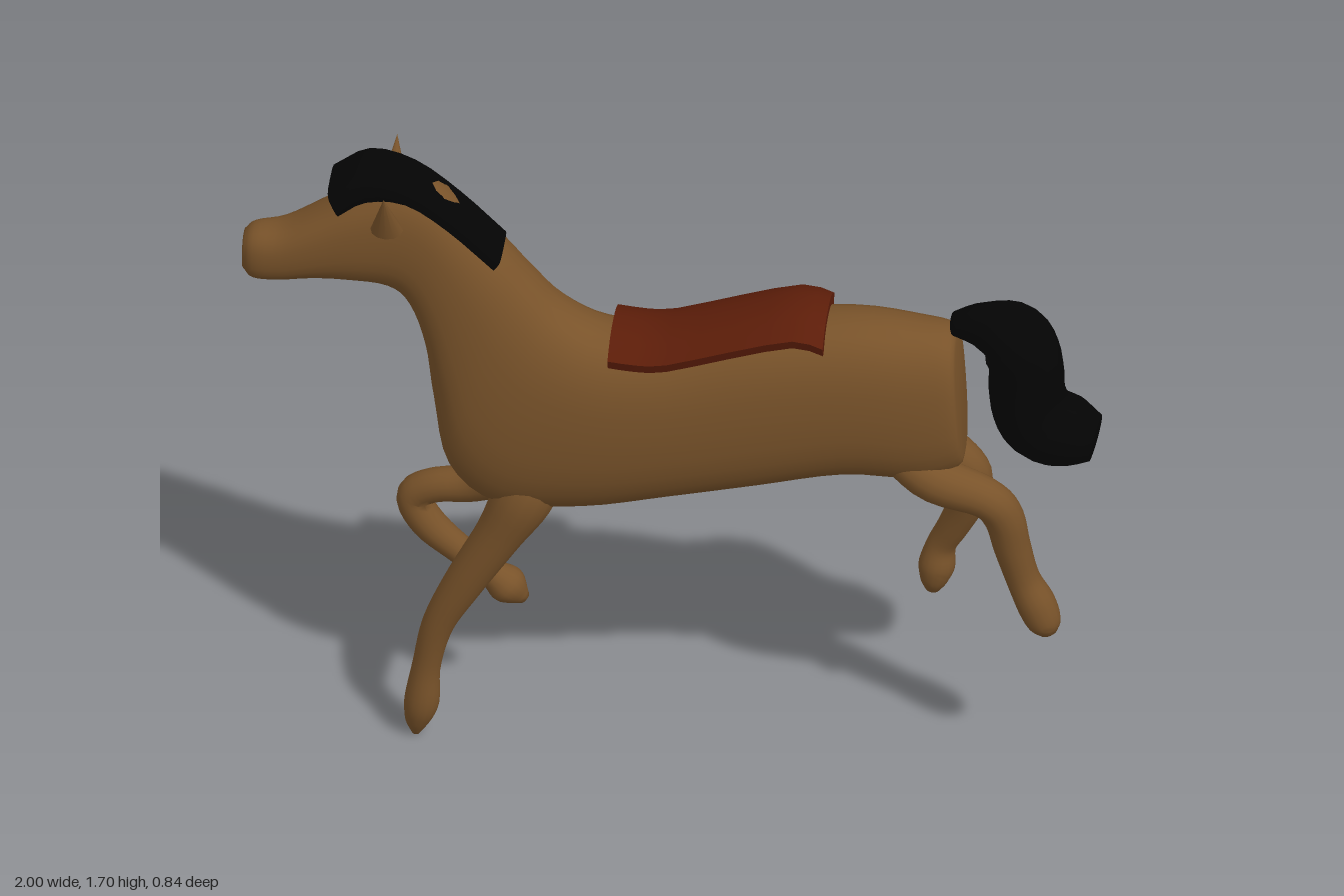
import * as THREE from 'three';
import { toCreasedNormals } from 'three/addons/utils/BufferGeometryUtils.js';

const YAW = 0.36; // the animal stands turned about the vertical axis
const C = Math.cos(YAW);
const V = (x, y, z) => new THREE.Vector3(x, y, z);
const SIDE = V(Math.sin(YAW), 0, C); // the animal's sideways direction

const coat = new THREE.MeshStandardMaterial({ color: 0x79532a });
coat.name = 'brownCoat';
const hair = new THREE.MeshStandardMaterial({ color: 0x040404 });
hair.name = 'blackHair';
const leather = new THREE.MeshStandardMaterial({ color: 0x5c1d09 });
leather.name = 'redLeather';

// Closed skin over a row of rings, with a fan at each end
function loft(rings, crease) {
  const n = rings[0].length, pos = [], idx = [];
  for (const r of rings) for (const p of r) pos.push(p.x, p.y, p.z);
  for (let i = 0; i < rings.length - 1; i++) {
    for (let j = 0; j < n; j++) {
      const a = i * n + j, b = i * n + (j + 1) % n;
      idx.push(a, b, a + n, b, b + n, a + n);
    }
  }
  [0, rings.length - 1].forEach((k, end) => {
    const mid = V(0, 0, 0);
    rings[k].forEach(p => mid.addScaledVector(p, 1 / n));
    const c = pos.length / 3;
    pos.push(mid.x, mid.y, mid.z);
    for (let j = 0; j < n; j++) {
      const a = k * n + j, b = k * n + (j + 1) % n;
      if (end) idx.push(c, a, b); else idx.push(c, b, a);
    }
  });
  const g = new THREE.BufferGeometry();
  g.setAttribute('position', new THREE.Float32BufferAttribute(pos, 3));
  g.setIndex(idx);
  return toCreasedNormals(g, crease);
}

// Rounded outline around c, spanned by half-axes a and b; e = 2 is an ellipse
function ring(c, a, b, n, e) {
  const f = v => Math.sign(v) * Math.pow(Math.abs(v), 2 / e);
  return Array.from({ length: n }, (_, j) => {
    const t = j / n * Math.PI * 2;
    return c.clone().addScaledVector(a, f(Math.cos(t))).addScaledVector(b, f(Math.sin(t)));
  });
}

const spline = pts => new THREE.CatmullRomCurve3(pts, false, 'catmullrom');

// Sections [topX, topY, bottomX, bottomY, halfWidth], from the rear to the front
function profileLoft(secs, steps, n, e, crease) {
  const top = spline(secs.map(s => V(s[0] / C, s[1], 0)));
  const bottom = spline(secs.map(s => V(s[2] / C, s[3], 0)));
  const width = spline(secs.map(s => V(s[4], 0, 0)));
  const rings = [];
  for (let i = 0; i <= steps; i++) {
    const t = i / steps, p = top.getPoint(t), q = bottom.getPoint(t);
    const mid = p.clone().add(q).multiplyScalar(0.5);
    rings.push(ring(mid, p.sub(mid), V(0, 0, -width.getPoint(t).x), n, e));
  }
  return loft(rings, crease);
}

// Tapered limb through points [x, y, z, radius]
function limb(pts, n, steps) {
  const path = spline(pts.map(p => V(p[0], p[1], p[2])));
  const radius = spline(pts.map(p => V(p[3], 0, 0)));
  const rings = [];
  for (let i = 0; i <= steps; i++) {
    const t = i / steps, dir = path.getTangent(t), r = radius.getPoint(t).x;
    const a = SIDE.clone().addScaledVector(dir, -SIDE.dot(dir)).normalize();
    const b = dir.clone().cross(a);
    rings.push(ring(path.getPoint(t), a.multiplyScalar(r), b.multiplyScalar(r), n, 2));
  }
  return loft(rings, 1.2);
}

export function createModel() {
  const model = new THREE.Group();
  model.name = 'gallopingHorse';
  const turned = new THREE.Group();
  turned.name = 'upperBody';
  turned.rotation.y = YAW;
  model.add(turned);
  const add = (parent, name, geometry, material) => {
    const m = new THREE.Mesh(geometry, material);
    m.name = name;
    parent.add(m);
    return m;
  };

  // Trunk, neck and head in one skin
  add(turned, 'bodyNeckAndHead', profileLoft([
    [0.66, 1.27, 0.675, 0.97, 0.075],
    [0.645, 1.31, 0.665, 0.925, 0.105],
    [0.57, 1.325, 0.58, 0.885, 0.122],
    [0.42, 1.335, 0.4, 0.885, 0.135],
    [0.2, 1.305, 0.2, 0.835, 0.142],
    [0, 1.25, 0, 0.785, 0.145],
    [-0.15, 1.252, -0.2, 0.735, 0.143],
    [-0.25, 1.31, -0.4, 0.725, 0.135],
    [-0.32, 1.39, -0.51, 0.825, 0.128],
    [-0.38, 1.465, -0.545, 1.02, 0.12],
    [-0.46, 1.555, -0.565, 1.18, 0.108],
    [-0.54, 1.635, -0.6, 1.295, 0.097],
    [-0.62, 1.66, -0.65, 1.345, 0.093],
    [-0.71, 1.62, -0.75, 1.355, 0.09],
    [-0.8, 1.555, -0.83, 1.352, 0.083],
    [-0.89, 1.495, -0.9, 1.34, 0.072],
    [-0.96, 1.477, -0.96, 1.337, 0.06],
    [-0.985, 1.455, -0.985, 1.36, 0.04],
  ], 68, 28, 2.5, 1.2), coat);

  // Ears
  for (const s of [1, -1]) {
    const ear = add(turned, s > 0 ? 'leftEar' : 'rightEar', new THREE.ConeGeometry(0.04, 0.15, 12), coat);
    ear.position.set(-0.69, 1.627, 0.02 + s * 0.107);
    ear.rotation.x = s * 0.45;
    ear.scale.z = 0.7;
  }

  // Mane: a slab with square ends, lying along the crest and over the forehead
  const mane = add(turned, 'mane', profileLoft([
    [-0.385, 1.477, -0.405, 1.447, 0.074],
    [-0.49, 1.588, -0.51, 1.555, 0.076],
    [-0.595, 1.672, -0.605, 1.625, 0.08],
    [-0.7, 1.702, -0.695, 1.62, 0.08],
    [-0.785, 1.645, -0.755, 1.575, 0.08],
  ], 12, 20, 4, 0.6), hair);
  mane.position.z = 0.015;

  // Saddle pad, arched over the back and sunk into it
  const dips = [[0.36, 1.352], [0.29, 1.37], [0.15, 1.326], [0, 1.272], [-0.07, 1.265], [-0.135, 1.271]];
  const padLine = spline(dips.map(d => V(d[0] / C, d[1], 0)));
  const padRings = [];
  for (let i = 0; i <= 10; i++) {
    const p = padLine.getPoint(i / 10), outline = [];
    for (let j = 0; j <= 10; j++) {
      const z = 0.121 * (1 - j / 5);
      outline.push(V(p.x, p.y - 0.042 * Math.abs(1 - j / 5) ** 2.4, z));
    }
    for (const z of [-0.112, 0.112]) outline.push(V(p.x, p.y - 0.068, z));
    padRings.push(outline);
  }
  add(turned, 'saddlePad', loft(padRings, 0.6), leather);

  // Legs, rooted inside the trunk and each ending in a pointed hoof
  const legs = {
    leftFrontLeg: [[-0.28, 0.88, 0.12, 0.05], [-0.315, 0.77, 0.16, 0.077], [-0.375, 0.64, 0.19, 0.06],
      [-0.46, 0.48, 0.217, 0.05], [-0.52, 0.35, 0.235, 0.04], [-0.55, 0.22, 0.24, 0.035],
      [-0.563, 0.11, 0.24, 0.043], [-0.575, 0.05, 0.24, 0.032], [-0.58, 0.005, 0.24, 0.01]],
    rightFrontLeg: [[-0.34, 0.8, 0.12, 0.05], [-0.47, 0.71, 0.115, 0.046], [-0.58, 0.68, 0.135, 0.044],
      [-0.635, 0.635, 0.145, 0.043], [-0.6, 0.56, 0.135, 0.043], [-0.53, 0.49, 0.11, 0.037],
      [-0.46, 0.425, 0.08, 0.035], [-0.42, 0.385, 0.06, 0.048], [-0.385, 0.345, 0.04, 0.016]],
    leftHindLeg: [[0.5, 0.98, -0.16, 0.045], [0.62, 0.905, -0.175, 0.06], [0.745, 0.86, -0.215, 0.052],
      [0.785, 0.8, -0.242, 0.05], [0.8, 0.7, -0.262, 0.046], [0.82, 0.6, -0.28, 0.042],
      [0.85, 0.53, -0.29, 0.048], [0.872, 0.475, -0.295, 0.042], [0.882, 0.447, -0.297, 0.022]],
    rightHindLeg: [[0.54, 1.0, -0.25, 0.04], [0.62, 0.91, -0.285, 0.055], [0.665, 0.84, -0.31, 0.05],
      [0.645, 0.75, -0.325, 0.046], [0.605, 0.66, -0.33, 0.04], [0.57, 0.59, -0.33, 0.037],
      [0.56, 0.53, -0.325, 0.045], [0.555, 0.49, -0.32, 0.036], [0.55, 0.455, -0.32, 0.018]],
  };
  for (const [name, pts] of Object.entries(legs)) add(model, name, limb(pts, 16, 36), coat);

  // Bushy tail, arching up and curling out at the end
  add(model, 'tail', limb([
    [0.645, 1.325, -0.25, 0.03], [0.72, 1.335, -0.265, 0.06], [0.79, 1.315, -0.28, 0.09],
    [0.82, 1.24, -0.295, 0.092], [0.82, 1.13, -0.305, 0.095], [0.85, 1.055, -0.32, 0.098],
    [0.92, 1.035, -0.34, 0.09], [0.98, 1.025, -0.355, 0.06],
  ], 16, 28), hair);

  return model;
}
